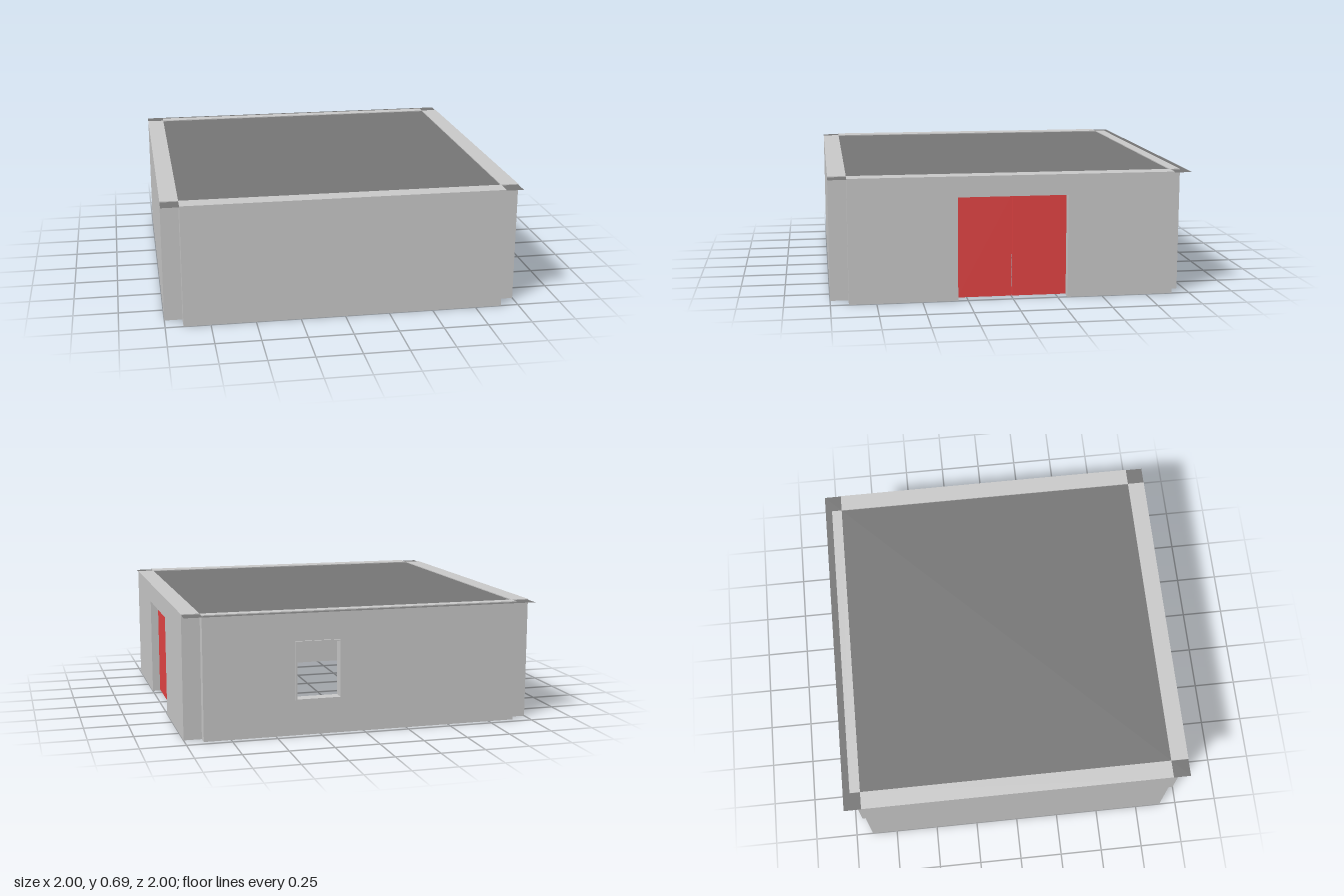
import * as THREE from 'three';

const H = 0.69; // wall height
const grey = new THREE.MeshStandardMaterial({ color: 0xcccccc });
const dark = new THREE.MeshStandardMaterial({ color: 0x777777, side: THREE.DoubleSide });
const red = new THREE.MeshStandardMaterial({ color: 0xe64545 });

function rect(Type, x0, y0, x1, y1) {
  const p = new Type();
  p.moveTo(x0, y0).lineTo(x1, y0).lineTo(x1, y1).lineTo(x0, y1).closePath();
  return p;
}

function extrude(name, shape, depth) {
  const geometry = new THREE.ExtrudeGeometry(shape, { depth, bevelEnabled: false });
  const mesh = new THREE.Mesh(geometry, grey);
  mesh.name = name;
  return mesh;
}

function box(name, material, size, position) {
  const mesh = new THREE.Mesh(new THREE.BoxGeometry(...size), material);
  mesh.name = name;
  mesh.position.set(...position);
  return mesh;
}

export function createModel() {
  const model = new THREE.Group();
  model.name = 'building';

  // Plain walls; the corners between walls stay open
  model.add(box('frontWall', grey, [1.8, H, 0.1], [0, H / 2, 0.95]));
  model.add(box('leftWall', grey, [0.1, H, 1.8], [-0.95, H / 2, 0]));

  // Side wall with a doorway cut down to the ground
  const doorShape = new THREE.Shape();
  doorShape.moveTo(-0.9, 0).lineTo(-0.305, 0).lineTo(-0.305, 0.575).lineTo(0.305, 0.575)
    .lineTo(0.305, 0).lineTo(0.9, 0).lineTo(0.9, H).lineTo(-0.9, H).closePath();
  const doorWall = extrude('doorWall', doorShape, 0.1);
  doorWall.rotation.y = Math.PI / 2;
  doorWall.position.x = 0.9;
  model.add(doorWall);

  // Pair of recessed door leaves
  for (const s of [-1, 1]) {
    model.add(box(s < 0 ? 'backDoorLeaf' : 'frontDoorLeaf', red,
      [0.02, 0.565, 0.301], [0.945, 0.29, s * 0.1525]));
  }

  // Thinner back wall with a window opening
  const backShape = rect(THREE.Shape, -0.9, 0, 0.9, H);
  backShape.holes.push(rect(THREE.Path, 0.135, 0.2, 0.385, 0.52));
  const backWall = extrude('backWall', backShape, 0.06);
  backWall.position.z = -0.96;
  model.add(backWall);

  // Slim window lining that stands slightly proud outside
  const frameShape = rect(THREE.Shape, 0.13, 0.195, 0.39, 0.525);
  frameShape.holes.push(rect(THREE.Path, 0.138, 0.203, 0.382, 0.517));
  const frame = extrude('windowFrame', frameShape, 0.07);
  frame.position.z = -0.97;
  model.add(frame);

  // Flat roof sheet just under the wall tops
  const roof = new THREE.Mesh(new THREE.PlaneGeometry(2, 2), dark);
  roof.name = 'roof';
  roof.rotation.x = -Math.PI / 2;
  roof.position.y = H - 0.005;
  model.add(roof);

  return model;
}
